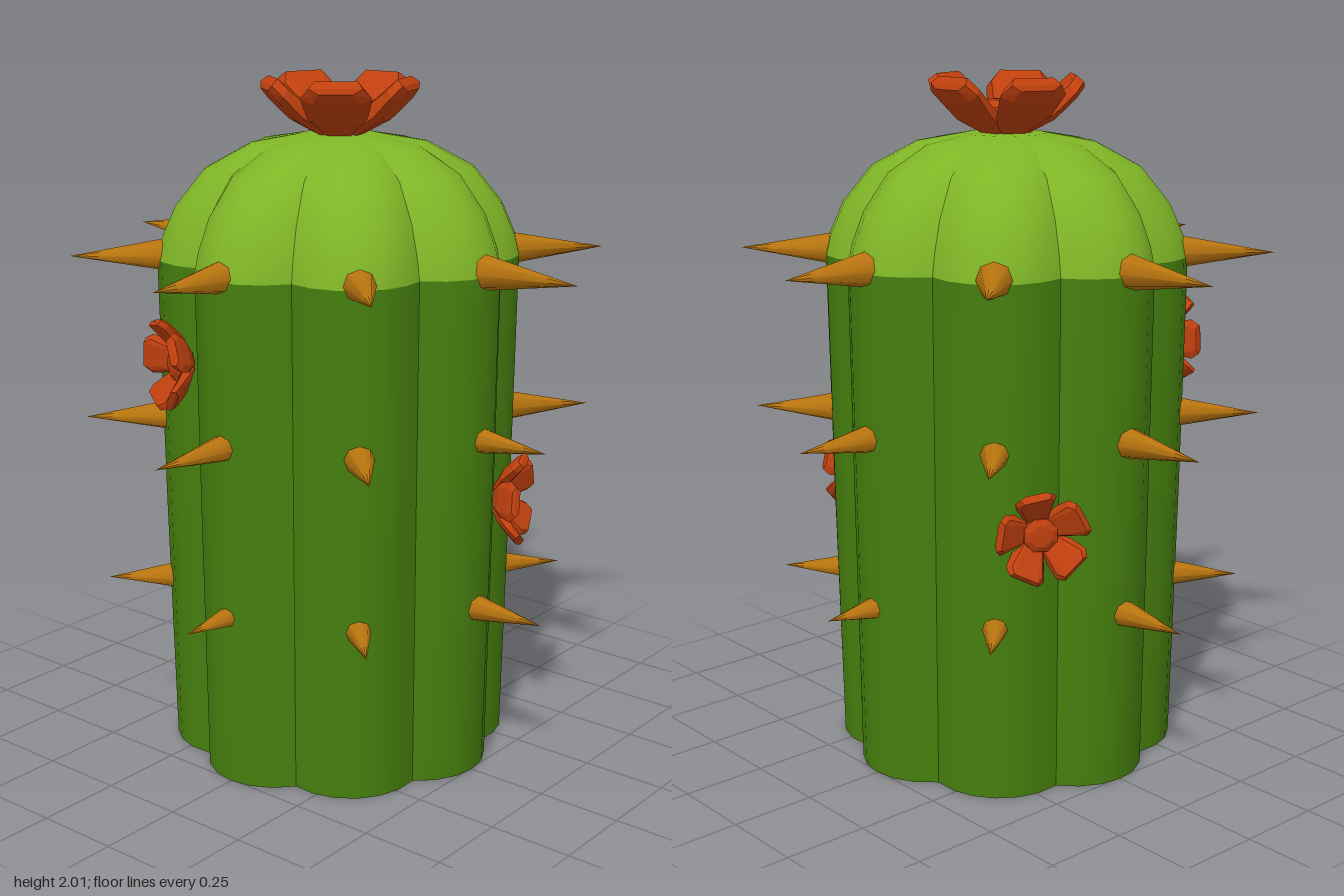
import * as THREE from 'three';
import { ConvexGeometry } from 'three/addons/geometries/ConvexGeometry.js';

const mat = (name, color, opts = {}) =>
  Object.assign(new THREE.MeshStandardMaterial({ color, ...opts }), { name });

const LOBES = 8;
const HALF = Math.PI / LOBES;

// One rib of the body: a sheet bent around +z; profile rows are [tip radius, y, rib depth], top first
function ribGeometry(profile) {
  const cols = 6;
  const geo = new THREE.PlaneGeometry(1, 1, cols, profile.length - 1);
  const pos = geo.attributes.position;
  profile.forEach(([tip, y, depth], row) => {
    for (let c = 0; c <= cols; c++) {
      const t = (c / cols) * 2 - 1;
      const r = tip * (1 - depth * t * t);
      pos.setXYZ(row * (cols + 1) + c, r * Math.sin(t * HALF), y, r * Math.cos(t * HALF));
    }
  });
  geo.computeVertexNormals();
  return geo;
}

// Cupped petal opening along +z, built as a faceted shell from a few cross-sections
function petalGeometry() {
  const sections = [ // distance out, height, half width
    [0.05, 0.0, 0.045],
    [0.13, 0.045, 0.085],
    [0.19, 0.105, 0.1],
    [0.215, 0.135, 0.075],
  ];
  const points = [];
  for (const [z, y, w] of sections) {
    for (const s of [-1, 1]) {
      points.push(new THREE.Vector3(s * w, y + 0.01, z));
      points.push(new THREE.Vector3(s * w * 0.8, y + 0.028, z - 0.02));
      points.push(new THREE.Vector3(s * w * 0.65, y - 0.006, z + 0.006));
    }
  }
  return new ConvexGeometry(points);
}

export function createModel() {
  const model = new THREE.Group();
  model.name = 'cactus';

  const bodyGreen = mat('body green', 0x467f0e, { side: THREE.DoubleSide });
  const capGreen = mat('cap green', 0x7fb526, { side: THREE.DoubleSide });
  const spineOchre = mat('spine ochre', 0xb9750f);
  const petalRed = mat('petal red', 0xc0400e, { flatShading: true });

  // Ribbed trunk, open underneath, and the paler domed cap
  const trunkGeo = ribGeometry([[0.53, 1.49, 0.145], [0.52, 0.75, 0.135], [0.505, 0, 0.115]]);
  const capGeo = ribGeometry([
    [0, 1.845, 0], [0.12, 1.84, 0.05], [0.26, 1.815, 0.09], [0.39, 1.745, 0.125],
    [0.475, 1.64, 0.14], [0.515, 1.55, 0.145], [0.53, 1.49, 0.145],
  ]);
  const trunk = new THREE.Group();
  trunk.name = 'trunk';
  const cap = new THREE.Group();
  cap.name = 'cap';
  for (let i = 0; i < LOBES; i++) {
    const a = i * 2 * HALF;
    const rib = new THREE.Mesh(trunkGeo, bodyGreen);
    rib.name = 'trunkRib';
    rib.rotation.y = a;
    trunk.add(rib);
    const top = new THREE.Mesh(capGeo, capGreen);
    top.name = 'capRib';
    top.rotation.y = a;
    cap.add(top);
  }
  model.add(trunk, cap);

  // Spines: three rows, one on each rib; tips and widths listed from the front rib towards +x
  const rows = [
    { y: 1.5, tips: [0.77, 0.78, 0.81, 0.78, 0.78, 0.8, 0.81, 0.78],
      radii: [0.055, 0.055, 0.06, 0.055, 0.06, 0.06, 0.06, 0.055] },
    { y: 1.02, tips: [0.78, 0.75, 0.73, 0.75, 0.75, 0.75, 0.78, 0.75],
      radii: [0.047, 0.053, 0.047, 0.053, 0.05, 0.05, 0.055, 0.053] },
    { y: 0.515, tips: [0.675, 0.7, 0.73, 0.68, 0.67, 0.7, 0.73, 0.7],
      radii: [0.038, 0.045, 0.048, 0.042, 0.042, 0.045, 0.048, 0.048] },
  ];
  const spineGeo = new THREE.ConeGeometry(1, 1, 8).translate(0, 0.5, 0).rotateX(Math.PI / 2);
  const spines = new THREE.Group();
  spines.name = 'spines';
  const root = 0.46;
  for (const { y, tips, radii } of rows) {
    tips.forEach((tip, i) => {
      const a = i * 2 * HALF;
      const spine = new THREE.Mesh(spineGeo, spineOchre);
      spine.name = 'spine';
      spine.scale.set(radii[i], radii[i], tip - root);
      spine.position.set(root * Math.sin(a), y, root * Math.cos(a));
      spine.rotation.y = a;
      spines.add(spine);
    });
  }
  model.add(spines);

  // Five-petalled flowers: opening along their own +y
  const petalGeo = petalGeometry();
  const heartGeo = new THREE.LatheGeometry(
    [[0, -0.03], [0.06, -0.01], [0.065, 0.035], [0.088, 0.055], [0.085, 0.075], [0.055, 0.092], [0, 0.094]]
      .map(([r, y]) => new THREE.Vector2(r, y)), 8);
  function flower(name, spin) {
    const g = new THREE.Group();
    g.name = name;
    const heart = new THREE.Mesh(heartGeo, petalRed);
    heart.name = 'flowerHeart';
    heart.rotation.y = Math.PI / 8;
    g.add(heart);
    for (let i = 0; i < 5; i++) {
      const petal = new THREE.Mesh(petalGeo, petalRed);
      petal.name = 'petal';
      petal.rotation.y = spin + (i * 2 * Math.PI) / 5;
      g.add(petal);
    }
    return g;
  }
  const crown = flower('crownFlower', Math.PI);
  crown.position.y = 1.842;
  model.add(crown);

  // Side flowers sit in the grooves; angle runs from the front towards +x
  const sideFlowers = [
    ['frontFlower', -0.45, 1.215, 193],
    ['leftFlower', 1.97, 0.79, 185],
    ['rightFlower', -2.11, 0.79, 190],
  ];
  for (const [name, a, y, spin] of sideFlowers) {
    const f = flower(name, THREE.MathUtils.degToRad(spin));
    f.scale.setScalar(0.59);
    f.rotation.set(Math.PI / 2, 0, -a, 'YXZ');
    f.rotation.set(Math.PI / 2, a, 0, 'YXZ');
    f.position.set(0.475 * Math.sin(a), y, 0.475 * Math.cos(a));
    model.add(f);
  }
  return model;
}
